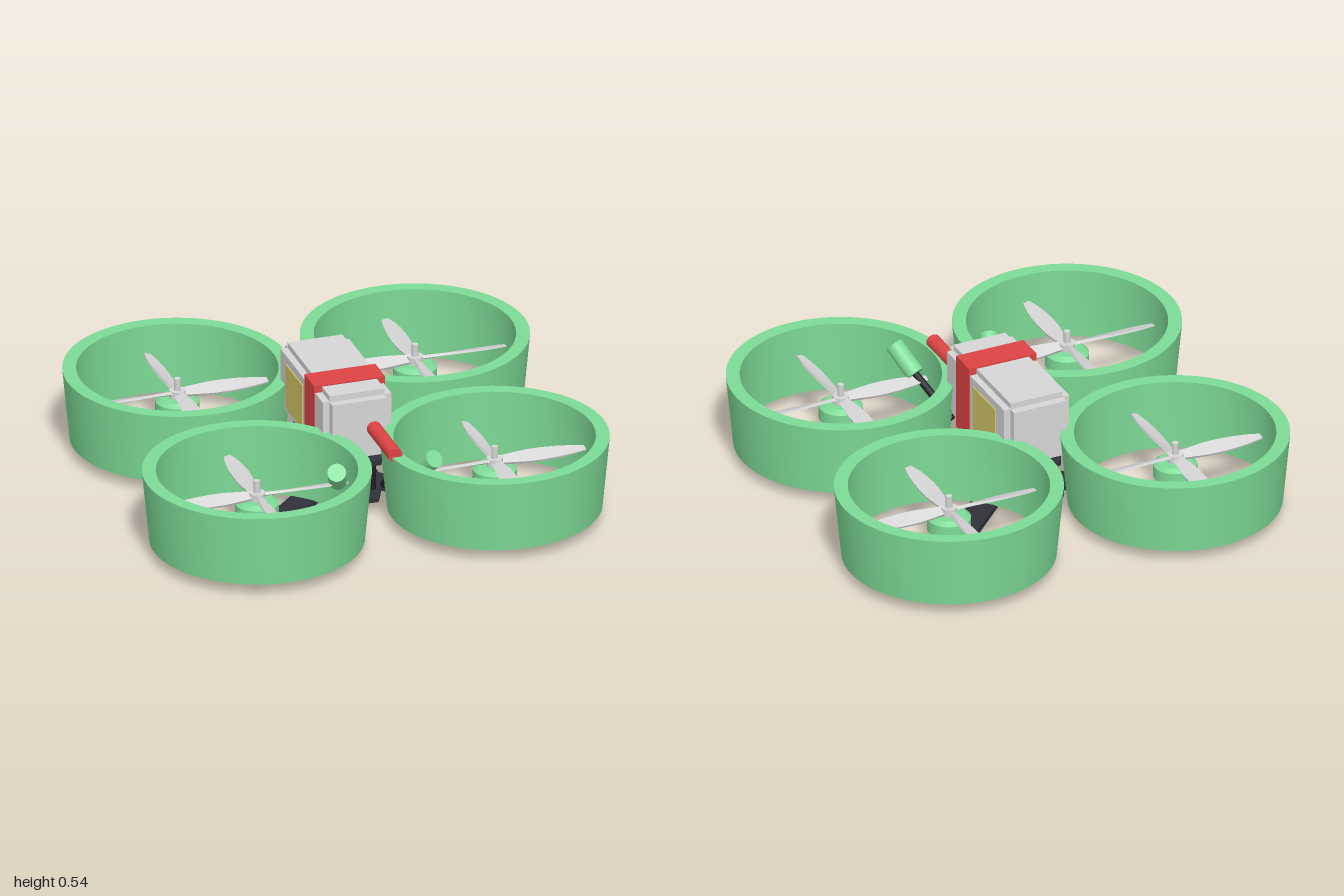
import * as THREE from 'three';
import { toCreasedNormals } from 'three/addons/utils/BufferGeometryUtils.js';

const mat = (name, color) => {
  const m = new THREE.MeshStandardMaterial({ color });
  m.name = name;
  return m;
};

export function createModel() {
  const green = mat('green plastic', 0x7edb97);
  const grey = mat('light grey', 0xd6d6d6);
  const red = mat('red', 0xdf4444);
  const carbon = mat('dark carbon', 0x31313a);
  const black = mat('black', 0x1d1d21);
  const yellow = mat('yellow label', 0xd6c868);
  const copper = mat('copper winding', 0xdca468);

  const model = new THREE.Group();
  model.name = 'quadcopter';

  const add = (parent, name, geo, material, x = 0, y = 0, z = 0) => {
    const m = new THREE.Mesh(geo, material);
    m.name = name;
    m.position.set(x, y, z);
    parent.add(m);
    return m;
  };
  // box given by its size, its bottom and its centre
  const box = (parent, name, material, w, h, d, x, y0, z) =>
    add(parent, name, new THREE.BoxGeometry(w, h, d), material, x, y0 + h / 2, z);
  // upright cylinder from y0 to y1
  const post = (parent, name, material, r0, r1, y0, y1, x = 0, z = 0, n = 32) =>
    add(parent, name, new THREE.CylinderGeometry(r1, r0, y1 - y0, n), material, x, (y0 + y1) / 2, z);
  // cylinder between two points
  const rod = (parent, name, material, a, b, r, n = 24) => {
    const p = new THREE.Vector3(...a), d = new THREE.Vector3(...b).sub(p);
    const m = add(parent, name, new THREE.CylinderGeometry(r, r, d.length(), n), material);
    m.position.copy(p).addScaledVector(d, 0.5);
    m.quaternion.setFromUnitVectors(new THREE.Vector3(0, 1, 0), d.normalize());
    return m;
  };
  // flat plate from a half outline of [x, z] points, mirrored in x
  const plate = (parent, name, material, half, y, t) => {
    const pts = [...half, ...half.map(([x, z]) => [-x, z]).reverse()];
    const shape = new THREE.Shape(pts.map(([x, z]) => new THREE.Vector2(x, -z)));
    const geo = new THREE.ExtrudeGeometry(shape, { depth: t, bevelEnabled: false });
    geo.rotateX(-Math.PI / 2);
    return add(parent, name, geo, material, 0, y, 0);
  };

  // tapered duct ring
  const ductGeo = toCreasedNormals(new THREE.LatheGeometry(
    [[0.448, 0.05], [0.478, 0.365], [0.42, 0.365], [0.428, 0.05], [0.448, 0.05]]
      .map(([x, y]) => new THREE.Vector2(x, y)), 64), 0.6);

  // leaf-shaped, twisted blade made from a subdivided box
  const bladeGeometry = (spin) => {
    const g = new THREE.BoxGeometry(1, 1, 1, 12, 1, 4);
    const p = g.attributes.position;
    const width = [0.036, 0.05, 0.064, 0.068, 0.064, 0.052, 0.028];
    for (let i = 0; i < p.count; i++) {
      const t = p.getX(i) + 0.5;
      const k = Math.min(5, Math.floor(t * 6)), f = t * 6 - k;
      const w = width[k] * (1 - f) + width[k + 1] * f;
      const a = spin * (0.55 - 0.3 * t);
      const y = p.getY(i) * (0.014 - 0.008 * t), z = p.getZ(i) * w;
      p.setXYZ(i, 0.015 + t * 0.38, y * Math.cos(a) - z * Math.sin(a), y * Math.sin(a) + z * Math.cos(a));
    }
    return toCreasedNormals(g, 0.6);
  };

  // four rotor units with arms
  for (const sx of [-1, 1]) for (const sz of [-1, 1]) {
    const unit = new THREE.Group();
    unit.name = (sz > 0 ? 'front' : 'rear') + (sx > 0 ? 'Left' : 'Right') + 'Rotor';
    unit.position.set(sx * 0.52, 0, sz * 0.52);
    model.add(unit);
    add(unit, 'duct', ductGeo, green);
    post(unit, 'motorPad', black, 0.09, 0.09, 0.026, 0.07);
    post(unit, 'motorBase', grey, 0.08, 0.085, 0.07, 0.108);
    post(unit, 'motorWinding', copper, 0.078, 0.078, 0.108, 0.16);
    post(unit, 'motorBell', green, 0.092, 0.092, 0.16, 0.215);
    post(unit, 'motorBellTop', green, 0.092, 0.07, 0.215, 0.23);
    post(unit, 'propellerHub', grey, 0.034, 0.034, 0.23, 0.262);
    post(unit, 'propellerShaft', grey, 0.014, 0.014, 0.23, 0.315, 0, 0, 12);
    const blade = bladeGeometry(sx * sz);
    for (let i = 0; i < 4; i++)
      add(unit, 'blade', blade, grey, 0, 0.248, 0).rotation.y = i * Math.PI / 2;

    const arm = box(model, 'arm', carbon, 0.735, 0.024, 0.11, sx * 0.26, 0.028, sz * 0.26);
    arm.rotation.y = -sx * sz * Math.PI / 4;
  }

  // frame plates, centre bolt and standoffs
  plate(model, 'bottomPlate', carbon,
    [[0.07, 0.35], [0.11, 0.26], [0.15, 0.1], [0.15, -0.1], [0.11, -0.26], [0.07, -0.33]], 0.05, 0.018);
  plate(model, 'topPlate', carbon,
    [[0.08, 0.355], [0.115, 0.27], [0.115, -0.27], [0.08, -0.34]], 0.22, 0.02);
  post(model, 'centreBoltHead', black, 0.04, 0.04, 0, 0.03);
  post(model, 'centreBolt', black, 0.02, 0.02, 0.03, 0.078);
  for (const x of [-0.075, 0.075]) for (const z of [-0.25, 0.25])
    post(model, 'standoff', black, 0.016, 0.016, 0.068, 0.22, x, z, 12);

  // circuit boards between the plates
  for (const y of [0.105, 0.172]) {
    box(model, 'circuitBoard', green, 0.2, 0.016, 0.2, 0, y, 0);
    for (const x of [-0.08, 0.08]) for (const z of [-0.08, 0.08])
      post(model, 'boardSpacer', black, 0.01, 0.01, y - 0.04, y, x, z, 10);
  }

  // battery with stepped edges, side labels and strap
  const battery = new THREE.Group();
  battery.name = 'battery';
  model.add(battery);
  box(battery, 'batteryCore', grey, 0.3, 0.255, 0.55, 0, 0.25, 0);
  box(battery, 'batteryEnds', grey, 0.24, 0.255, 0.62, 0, 0.248, 0);
  box(battery, 'batteryTop', grey, 0.24, 0.28, 0.55, 0, 0.25, 0);
  for (const s of [-1, 1])
    box(battery, 'batteryLabel', yellow, 0.006, 0.2, 0.215, s * 0.152, 0.27, -0.092);
  box(battery, 'strap', red, 0.31, 0.335, 0.125, 0, 0.202, 0.113);
  rod(battery, 'powerLead', red, [0.062, 0.373, 0.3], [0.062, 0.373, 0.59], 0.031);

  // camera and lens at the rear
  const camera = new THREE.Group();
  camera.name = 'camera';
  model.add(camera);
  box(camera, 'cameraBody', black, 0.15, 0.13, 0.1, 0, 0.08, -0.28);
  const barrel = add(camera, 'lensBarrel', new THREE.CylinderGeometry(0.045, 0.075, 0.06, 32), black, 0, 0.145, -0.36);
  barrel.rotation.x = -Math.PI / 2;
  rod(camera, 'lensRing', black, [0, 0.145, -0.388], [0, 0.145, -0.432], 0.052, 32);

  // two antennas at the front
  const antennas = [
    ['leftAntenna', [0.09, 0.13, 0.35], [0.165, 0.265, 0.545], [0.213, 0.362, 0.65]],
    ['rightAntenna', [-0.09, 0.13, 0.33], [-0.16, 0.25, 0.5], [-0.198, 0.338, 0.6]],
  ];
  for (const [name, base, neck, tip] of antennas) {
    const g = new THREE.Group();
    g.name = name;
    model.add(g);
    rod(g, 'antennaStem', black, base, neck, 0.016, 12);
    rod(g, 'antennaCap', green, neck, tip, 0.039, 24);
  }
  return model;
}
